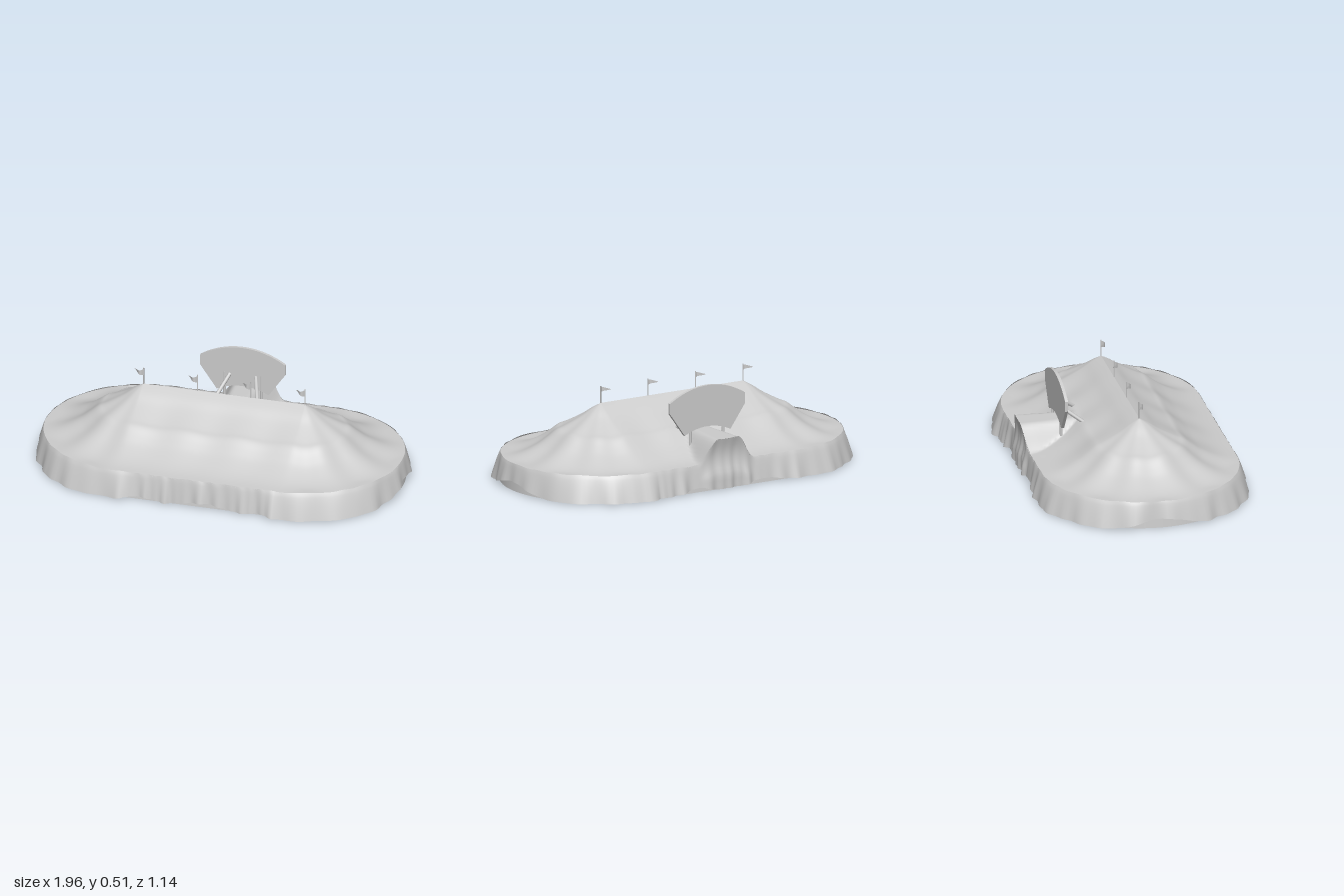
import * as THREE from 'three';

const HALF = 0.435; // half length of the straight ridge
const N = 72; // samples per straight side and per rounded end
const material = new THREE.MeshStandardMaterial({ color: 0xcccccc, side: THREE.DoubleSide });

// Stadium outline: anchor on the ridge, outward direction and seam phase
const outline = [];
for (let side = 0; side < 4; side++) {
  for (let i = 0; i < N; i++) {
    const t = i / N;
    const end = side % 2 === 0;
    const a = -Math.PI / 2 + side * Math.PI / 2 + t * Math.PI;
    const sign = side < 2 ? 1 : -1;
    outline.push({
      cx: end ? sign * HALF : sign * HALF * (1 - 2 * t),
      dx: end ? Math.cos(a) : 0,
      dz: end ? Math.sin(a) : sign,
      end,
      phase: t * (end ? 5 : 3),
      s: (side + t) * Math.PI / 2,
    });
  }
}

// How far a station belongs to the rear entrance, 0 to 1; it widens outward with v
const entrance = (p, v) => (!p.end && p.dz < 0
  ? 1 - THREE.MathUtils.smoothstep(Math.abs(p.cx), 0.02 + 0.04 * v, 0.11 + 0.065 * v) : 0);

// Closed cloth strip; rule(p, v) gives [distance from ridge, height]
function cloth(name, rows, rule) {
  const count = outline.length;
  const pos = [], index = [];
  for (let j = 0; j <= rows; j++) {
    for (const p of outline) {
      const [r, y] = rule(p, j / rows);
      pos.push(p.cx + p.dx * r, y, p.dz * r);
    }
  }
  for (let j = 0; j < rows; j++) {
    for (let i = 0; i < count; i++) {
      const a = j * count + i, b = j * count + (i + 1) % count;
      index.push(a, b, a + count, b, b + count, a + count);
    }
  }
  const geo = new THREE.BufferGeometry();
  geo.setAttribute('position', new THREE.Float32BufferAttribute(pos, 3));
  geo.setIndex(index);
  geo.computeVertexNormals();
  return part(name, geo);
}

function part(name, geo) {
  const mesh = new THREE.Mesh(geo, material);
  mesh.name = name;
  return mesh;
}

// Round bar between two points
function bar(name, a, b, radius, sides = 8) {
  const from = new THREE.Vector3(...a), to = new THREE.Vector3(...b);
  const dir = to.clone().sub(from);
  const mesh = part(name, new THREE.CylinderGeometry(radius, radius, dir.length(), sides));
  mesh.position.copy(from).add(to).multiplyScalar(0.5);
  mesh.quaternion.setFromUnitVectors(new THREE.Vector3(0, 1, 0), dir.normalize());
  return mesh;
}

function makeFlag(x, index) {
  const flag = new THREE.Group();
  flag.name = 'flag' + (index + 1);
  flag.add(bar('flagPole', [0, 0.39, 0], [0, 0.49, 0], 0.003, 6));
  // Tapering pennant with a wave along its length
  const geo = new THREE.PlaneGeometry(1, 1, 8, 1);
  const p = geo.attributes.position;
  for (let i = 0; i < p.count; i++) {
    const t = 0.5 - p.getX(i);
    p.setXYZ(i, -0.055 * t, 0.466 + p.getY(i) * 0.036 * (1 - t) + 0.004 * t, 0.016 * Math.sin(t * 5));
  }
  geo.computeVertexNormals();
  flag.add(part('pennant', geo));
  flag.position.x = x;
  return flag;
}

function makeSign() {
  const sign = new THREE.Group();
  sign.name = 'entranceSign';
  // Fan-shaped board
  const shape = new THREE.Shape();
  shape.moveTo(-0.23, 0.44);
  shape.quadraticCurveTo(-0.12, 0.51, 0, 0.51);
  shape.quadraticCurveTo(0.12, 0.51, 0.23, 0.44);
  shape.lineTo(0.23, 0.385);
  shape.lineTo(0.14, 0.258);
  shape.quadraticCurveTo(0, 0.325, -0.14, 0.258);
  shape.lineTo(-0.23, 0.385);
  const board = part('board', new THREE.ExtrudeGeometry(shape, { depth: 0.016, bevelEnabled: false, curveSegments: 12 }));
  board.position.z = -0.346;
  sign.add(board);
  // Uprights and diagonal braces
  for (const s of [-1, 1]) {
    sign.add(bar('upright', [s * 0.1, 0.19, -0.337], [s * 0.1, 0.36, -0.337], 0.008));
    sign.add(bar('brace', [s * 0.07, 0.352, -0.335], [s * 0.112, 0.268, -0.218], 0.01));
  }
  return sign;
}

export function createModel() {
  const tent = new THREE.Group();
  tent.name = 'tent';

  // Roof: sagging profile from ridge to eave, scalloped between seams,
  // lifted over the rear entrance
  const profile = new THREE.SplineCurve([
    [0, 0.4], [0.05, 0.372], [0.1, 0.338], [0.15, 0.31], [0.2, 0.285], [0.235, 0.27],
    [0.28, 0.235], [0.33, 0.2], [0.4, 0.165], [0.46, 0.146], [0.52, 0.138],
  ].map(([r, y]) => new THREE.Vector2(r, y)));
  tent.add(cloth('roof', 40, (p, v) => {
    const { x: r, y } = profile.getPoint(v);
    const g = entrance(p, v);
    const seam = Math.sin(Math.PI * p.phase) ** 2;
    // Rounded ends gather near the eave, long sides sag at mid-slope
    const sag = p.end ? 0.014 * Math.sin(Math.PI * v ** 2) * seam : 0.01 * Math.sin(Math.PI * v) ** 2 * seam;
    return [r + 0.025 * g * v * v, Math.max(y - sag, 0.138 + 0.132 * g)];
  }));

  // Skirt: folded cloth with an uneven hem, flared most at the corners;
  // forms the entrance curtain at the rear
  tent.add(cloth('skirt', 12, (p, v) => {
    const g = entrance(p, 1);
    const s = p.s;
    const corner = p.end ? Math.abs(p.dz) + 0.5 * (2 * p.dx * p.dz) ** 2 : (p.cx / HALF) ** 4;
    const folds = 0.006 * Math.sin(s * 31 + 1.5 * Math.sin(s * 5)) + 0.004 * Math.sin(s * 53 + 2 * Math.sin(s * 7))
      + 0.004 * Math.sin(s * 17);
    const flare = (1 - g) * (0.022 + 0.024 * corner) + folds;
    // Hem rises in a soft arch at each end and ripples along the sides
    const lift = p.end ? 0.05 * THREE.MathUtils.smoothstep(1 - Math.abs(p.dz), 0.5, 1)
      : 0.012 * (1 - g) * (1 + Math.sin(s * 9)) * (1 - (p.cx / HALF) ** 4);
    const top = 0.143 + 0.128 * g + 0.002 * Math.sin(s * 41 + 2 * Math.sin(s * 11));
    const r = 0.518 + 0.026 * g + flare * v ** 0.8 - 0.018 * g * Math.sin(Math.PI * Math.min(1, v * 1.4));
    return [r, THREE.MathUtils.lerp(top, 0.004 + lift, v)];
  }));

  // Smooth lining wall, leaning slightly outward
  tent.add(cloth('innerWall', 2, (p, v) => [0.512 + 0.012 * v, 0.138 * (1 - v)]));

  [-HALF, -HALF / 3, HALF / 3, HALF].forEach((x, i) => tent.add(makeFlag(x, i)));
  tent.add(makeSign());
  return tent;
}
